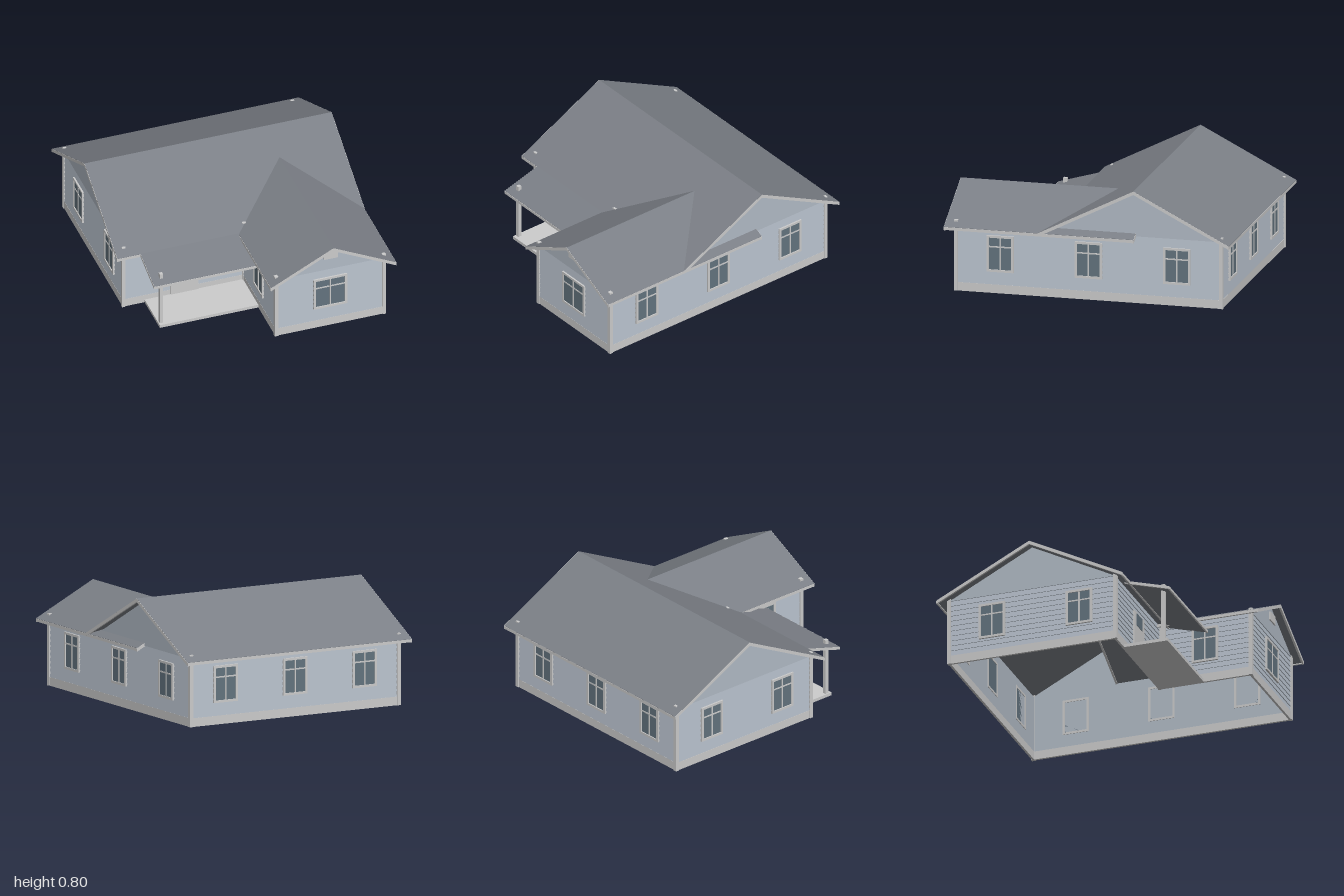
import * as THREE from 'three';

const paint = (color) => new THREE.MeshStandardMaterial({ color, flatShading: true });
const TRIM = paint(0xcccccc), WALL = paint(0xb1bac5), ROOF = paint(0x7b7f86), GLASS = paint(0x63737e);

export function createModel() {
  const house = new THREE.Group();
  house.name = 'house';

  const add = (parent, name, geometry, material) => {
    const mesh = new THREE.Mesh(geometry, material);
    mesh.name = name;
    parent.add(mesh);
    return mesh;
  };

  // Box given by its limits on each axis
  const box = (parent, name, material, x0, x1, y0, y1, z0, z1) => {
    const mesh = add(parent, name, new THREE.BoxGeometry(x1 - x0, y1 - y0, z1 - z0), material);
    mesh.position.set((x0 + x1) / 2, (y0 + y1) / 2, (z0 + z1) / 2);
    return mesh;
  };

  const extrude = (points, depth) => new THREE.ExtrudeGeometry(
    new THREE.Shape(points.map(([x, y]) => new THREE.Vector2(x, y))), { depth, bevelEnabled: false });

  // Profile of (z, y) points swept along x, centred on x = 0
  const sweepX = (points, length) => extrude(points, length).translate(0, 0, -length / 2).rotateY(-Math.PI / 2);

  // Four-pane window on a wall; local z points outwards
  const addWindow = (wall, x, width, y0, y1) => {
    const group = new THREE.Group();
    group.name = 'window';
    group.position.x = x;
    wall.add(group);
    const w = width / 2, edge = 0.016, bar = y0 + (y1 - y0) * 0.69;
    box(group, 'glass', GLASS, -w + edge, w - edge, y0 + edge, y1 - edge, -0.008, 0.009);
    for (const s of [-1, 1]) {
      const c = s * (w - edge / 2);
      box(group, 'frameSide', TRIM, c - edge / 2, c + edge / 2, y0, y1, -0.012, 0.016);
    }
    box(group, 'frameBottom', TRIM, -w + edge, w - edge, y0, y0 + edge, -0.012, 0.016);
    box(group, 'frameTop', TRIM, -w + edge, w - edge, y1 - edge, y1, -0.012, 0.016);
    box(group, 'uprightBar', TRIM, -0.005, 0.005, y0 + edge, y1 - edge, 0, 0.013);
    box(group, 'crossBar', TRIM, -w + edge, w - edge, bar - 0.005, bar + 0.005, 0, 0.012);
  };

  // Wall with lapped boards above a plain base strip
  const BASE = 0.06, TOP = 0.468, BOARDS = 11;
  const addWall = (name, x, z, length, angle) => {
    const wall = new THREE.Group();
    wall.name = name;
    wall.position.set(x, 0, z);
    wall.rotation.y = angle;
    house.add(wall);
    const profile = [[-0.008, BASE]];
    const step = (TOP - BASE) / BOARDS;
    for (let i = 0; i < BOARDS; i++) {
      profile.push([0.006, BASE + i * step], [0, BASE + (i + 1) * step]);
    }
    profile.push([-0.008, TOP]);
    add(wall, 'siding', sweepX(profile, length), WALL);
    box(wall, 'baseStrip', TRIM, -length / 2, length / 2, 0, BASE, -0.009, 0.007);
    return wall;
  };

  const Q = Math.PI / 2, W = 0.82, B = 0.93, F = 0.27, IN = 0.045;
  const frontWing = addWall('wingFrontWall', (IN + W) / 2, B, W - IN, 0);
  const right = addWall('leftSideWall', W, 0, 2 * B, Q);
  const back = addWall('backWall', 0, -B, 2 * W, Math.PI);
  const left = addWall('rightSideWall', -W, (F - B) / 2, F + B, -Q);
  addWall('porchWall', (IN - W) / 2, F, W + IN, 0);
  const inner = addWall('wingInnerWall', IN, (F + B) / 2, B - F, -Q);

  addWindow(frontWing, 0, 0.24, 0.158, 0.405);
  for (const x of [-0.62, 0, 0.62]) addWindow(right, x, 0.19, 0.15, 0.405);
  for (const x of [-0.55, 0, 0.55]) addWindow(back, x, 0.19, 0.15, 0.405);
  for (const x of [-0.29, 0.34]) addWindow(left, x, 0.19, 0.15, 0.405);
  addWindow(inner, 0, 0.19, 0.15, 0.405);

  // Corner boards, tops just breaking the roof surface
  for (const [x, z] of [[-W, -B], [W, -B], [-W, F], [IN, F], [IN, B], [W, B]]) {
    box(house, 'cornerBoard', TRIM, x - 0.013, x + 0.013, 0, 0.497, z - 0.013, z + 0.013);
  }

  // Plain gable triangles
  for (const x of [-W, W]) {
    add(house, 'mainGable', sweepX([[-B, TOP], [F, TOP], [-0.33, 0.776]], 0.012), WALL).position.x = x;
  }
  add(house, 'wingGable', extrude([[IN, TOP], [W, TOP], [0.435, 0.663]], 0.012), WALL).position.z = B - 0.006;
  box(house, 'gableVent', TRIM, 0.385, 0.485, 0.56, 0.622, B - 0.01, B + 0.016);

  // Gable roof running along z from 0 to length, with rake boards and fascias
  const addRoof = (name, half, eave, ridge, length) => {
    const roof = new THREE.Group();
    roof.name = name;
    house.add(roof);
    const chevron = (drop, t) => [
      [-half, eave - t], [0, ridge - t], [half, eave - t],
      [half, eave - drop], [0, ridge - drop], [-half, eave - drop]];
    add(roof, 'roofSlopes', extrude(chevron(0, 0.02), length), ROOF);
    for (const z of [-0.002, length - 0.012]) {
      add(roof, 'rakeBoard', extrude(chevron(0.001, 0.025), 0.014), TRIM).position.z = z;
    }
    for (const s of [-1, 1]) {
      const x = s * (half - 0.004);
      box(roof, 'fascia', TRIM, x - 0.006, x + 0.006, eave - 0.022, eave - 0.002, 0, length);
    }
    return roof;
  };
  const mainRoof = addRoof('mainRoof', 0.67, 0.46, 0.8, 1.774);
  mainRoof.rotation.y = Q;
  mainRoof.position.set(-0.887, 0, -0.33);
  addRoof('wingRoof', 0.45, 0.458, 0.686, 1.33).position.set(0.435, 0, -0.33);

  // Porch: floor, post, lean-to roof and door
  box(house, 'porchFloor', TRIM, -0.67, IN, 0, 0.022, F, 0.59);
  box(house, 'porchPost', TRIM, -0.662, -0.638, 0.022, 0.43, 0.542, 0.568);
  const slope = (t0, t1) => [[0.3, 0.472 - t1], [0.62, 0.38 - t1], [0.62, 0.38 - t0], [0.3, 0.472 - t0]];
  add(house, 'porchRoof', sweepX(slope(0, 0.018), 0.76), ROOF).position.x = -0.34;
  add(house, 'porchRakeBoard', sweepX(slope(0.001, 0.021), 0.012), TRIM).position.x = -0.716;
  box(house, 'porchFascia', TRIM, -0.72, IN, 0.359, 0.378, 0.612, 0.623);

  box(house, 'door', TRIM, -0.485, -0.285, 0.022, 0.362, F - 0.012, F + 0.013);
  box(house, 'doorGlass', GLASS, -0.44, -0.33, 0.263, 0.352, F, F + 0.016);

  return house;
}
